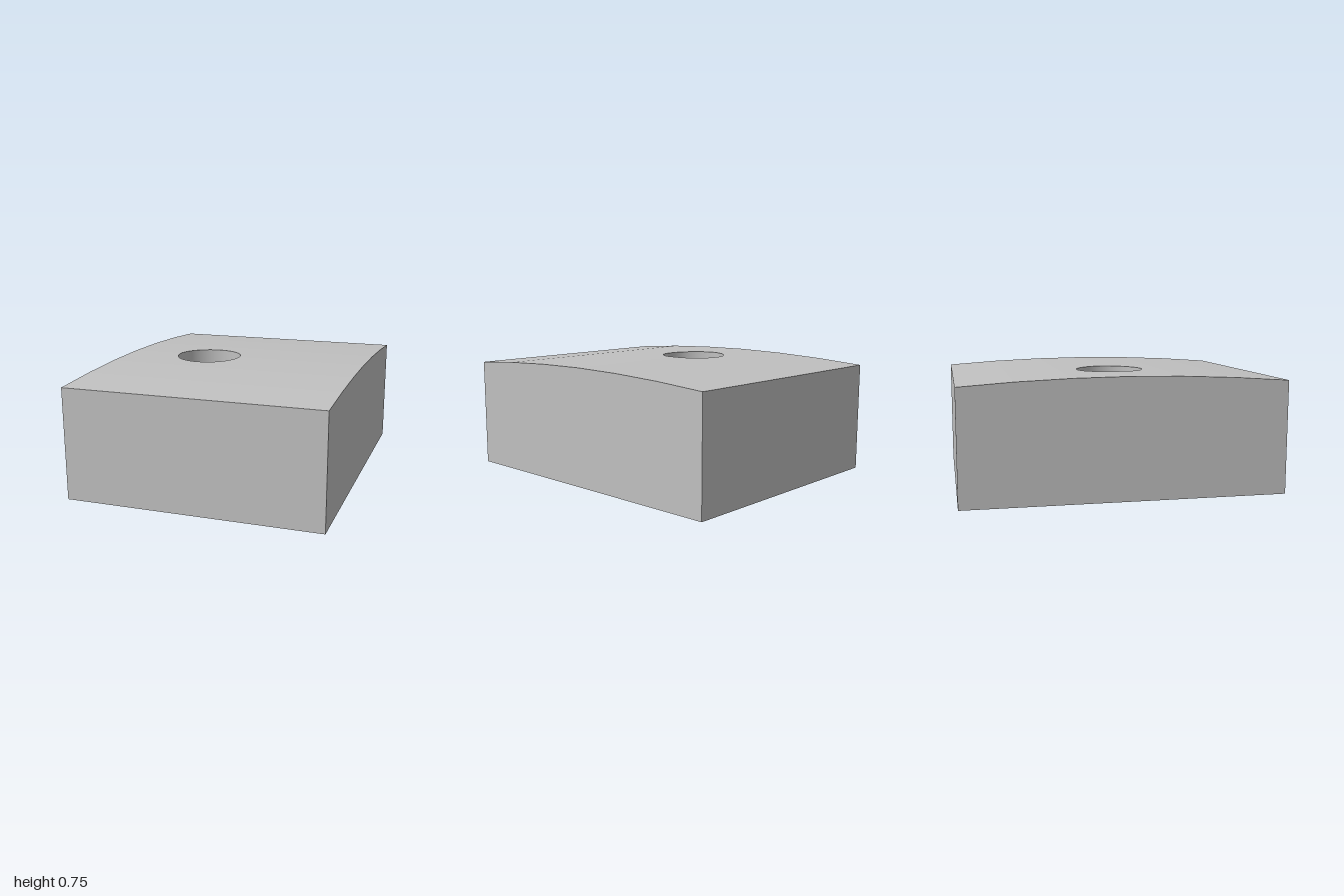
import * as THREE from 'three';

const W = 0.81;                                  // half width
const HOLE_X = -0.255;                           // axis of the stepped hole
const BORE_R = 0.5, HEX_R = 0.428, HOLE_R = 0.213;
const STEP_Y = 0.125, CEIL_Y = 0.47;
const CROWN = [0.75, 0.745, 0.731, 0.708];       // top heights at |z| = 0, 1/3, 2/3, 1

// Height of the faceted crowned top at a given z
function topY(z) {
  const t = Math.min(Math.abs(z) * 3, 3);
  const i = Math.min(Math.floor(t), 2);
  return CROWN[i] + (CROWN[i + 1] - CROWN[i]) * (t - i);
}

// Points of a regular polygon around the hole axis, first one towards +z
function ring(r, n) {
  return Array.from({ length: n }, (_, i) => {
    const a = (i / n) * Math.PI * 2;
    return new THREE.Vector2(HOLE_X + Math.sin(a) * r, Math.cos(a) * r);
  });
}

export function createModel() {
  const group = new THREE.Group();
  const grey = new THREE.MeshStandardMaterial({ color: 0xc0c0c0, side: THREE.DoubleSide });
  grey.name = 'light grey';

  const add = (name, geometry) => {
    const mesh = new THREE.Mesh(geometry, grey);
    mesh.name = name;
    group.add(mesh);
    return mesh;
  };

  // Downward-facing plate with a hole
  const plate = (name, outline, hole, y) => {
    const shape = new THREE.Shape(outline);
    shape.holes.push(new THREE.Path(hole));
    add(name, new THREE.ShapeGeometry(shape).rotateX(Math.PI / 2).translate(0, y, 0));
  };
  const base = [[-W, -1], [W, -1], [W, 1], [-W, 1]].map(p => new THREE.Vector2(...p));
  plate('underside', base, ring(BORE_R, 64), 0);
  plate('counterboreFloor', ring(BORE_R, 64), ring(HEX_R, 6), STEP_Y);
  plate('hexPocketFloor', ring(HEX_R, 6), ring(HOLE_R, 64), CEIL_Y);

  // Walls of the stepped hole
  const wall = (r, n, y0, y1) =>
    new THREE.CylinderGeometry(r, r, y1 - y0, n, 1, true).translate(HOLE_X, (y0 + y1) / 2, 0);
  add('counterboreWall', wall(BORE_R, 64, 0, STEP_Y));
  const hex = wall(HEX_R, 6, STEP_Y, CEIL_Y).toNonIndexed();
  hex.computeVertexNormals();
  add('hexPocketWall', hex);
  const bore = wall(HOLE_R, 64, CEIL_Y, CROWN[0]);
  const bp = bore.attributes.position;
  for (let i = 0; i < bp.count; i++) {
    if (bp.getY(i) > 0.6) bp.setY(i, topY(bp.getZ(i)));
  }
  add('throughHoleWall', bore);

  // Crowned top in strips; the two middle ones are notched by the hole
  for (const s of [-1, 1]) {
    for (let k = 0; k < 3; k++) {
      const z0 = k / 3, z1 = (k + 1) / 3;
      const pts = [[-W, z0]];
      if (k === 0) {
        for (let i = 0; i <= 32; i++) {
          const a = Math.PI * (1 - i / 32);
          pts.push([HOLE_X + Math.cos(a) * HOLE_R, Math.sin(a) * HOLE_R]);
        }
      }
      pts.push([W, z0], [W, z1], [-W, z1]);
      const shape = new THREE.Shape(pts.map(([x, z]) => new THREE.Vector2(x, z * s)));
      const strip = new THREE.ShapeGeometry(shape).rotateX(-Math.PI / 2);
      const p = strip.attributes.position;
      for (let i = 0; i < p.count; i++) p.setY(i, topY(p.getZ(i)));
      strip.computeVertexNormals();
      add('topStrip', strip);
    }
  }

  // Side walls follow the crown; end walls are plain rectangles
  const profile = [new THREE.Vector2(-1, 0), new THREE.Vector2(1, 0)];
  for (let k = 3; k >= -3; k--) profile.push(new THREE.Vector2(k / 3, topY(k / 3)));
  for (const s of [-1, 1]) {
    add(s > 0 ? 'leftSide' : 'rightSide',
      new THREE.ShapeGeometry(new THREE.Shape(profile)).rotateY(s * Math.PI / 2).translate(s * W, 0, 0));
    add(s > 0 ? 'frontEnd' : 'backEnd',
      new THREE.PlaneGeometry(2 * W, CROWN[3]).rotateY(s > 0 ? 0 : Math.PI).translate(0, CROWN[3] / 2, s));
  }

  return group;
}
